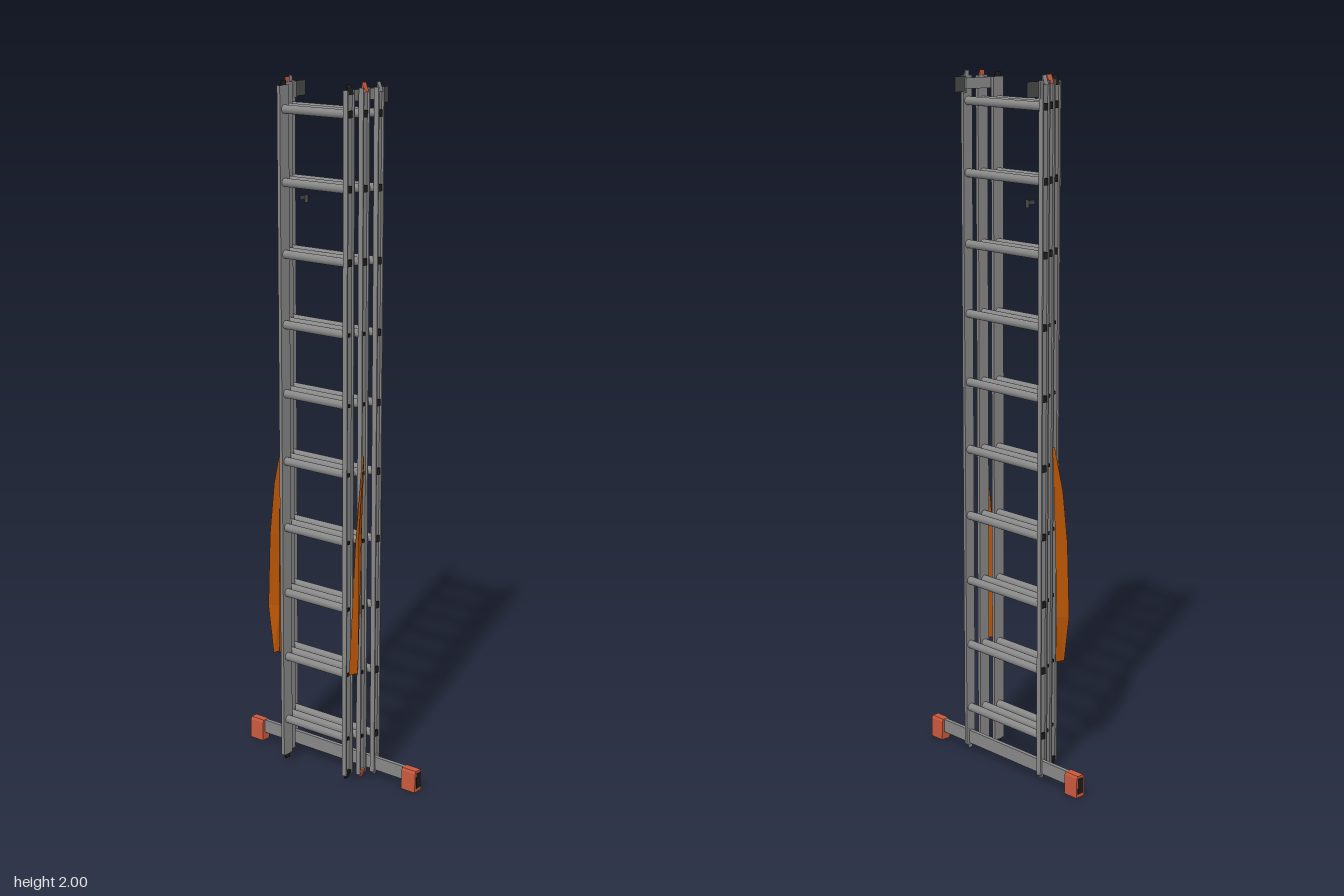
import * as THREE from 'three';

const mat = (name, color, side = THREE.FrontSide) => {
  const m = new THREE.MeshStandardMaterial({ color, side });
  m.name = name;
  return m;
};

export function createModel() {
  const root = new THREE.Group();
  root.name = 'threeSectionLadder';
  const aluminium = mat('aluminium', 0x888888);
  const dark = mat('blackPlastic', 0x1c1c1c);
  const steel = mat('darkSteel', 0x4a4a4a);
  const red = mat('redRubber', 0xc8593e);
  const orange = mat('orangeStrap', 0xba5605, THREE.DoubleSide);

  const add = (parent, name, geo, material, x = 0, y = 0, z = 0) => {
    const m = new THREE.Mesh(geo, material);
    m.name = name;
    m.position.set(x, y, z);
    parent.add(m);
    return m;
  };
  const box = (parent, name, material, w, h, d, x, y, z) =>
    add(parent, name, new THREE.BoxGeometry(w, h, d), material, x, y, z);
  const extrude = (pts, depth) => new THREE.ExtrudeGeometry(
    new THREE.Shape(pts.map(([x, y]) => new THREE.Vector2(x, y))), { depth, bevelEnabled: false });

  // C-shaped rail: web on the inside, flanges pointing outwards
  const railGeometry = (side, width, depth, height) => {
    const t = 0.004, h = depth / 2;
    const pts = [[0, -h], [width, -h + 0.003], [width, -h + 0.003 + t], [t, -h + t],
      [t, h - t], [width, h - 0.003 - t], [width, h - 0.003], [0, h]];
    return extrude(pts.map(([x, z]) => [x * side, z]), height).rotateX(-Math.PI / 2);
  };

  // Three nested ladder sections, widest at the back
  const sections = [
    { name: 'backSection', z: -0.016, inner: 0.148, depth: 0.033, bottom: 0.02, top: 1.985, cap: aluminium, darkFrom: 0 },
    { name: 'middleSection', z: 0.022, inner: 0.128, depth: 0.036, bottom: 0.02, top: 1.985, cap: red, darkFrom: 7 },
    { name: 'frontSection', z: 0.062, inner: 0.108, depth: 0.038, bottom: 0.025, top: 1.98, cap: dark, darkFrom: 7 },
  ];
  for (const s of sections) {
    const g = new THREE.Group();
    g.name = s.name;
    g.position.z = s.z;
    root.add(g);
    const capDepth = s.depth - 0.018;
    for (const side of [-1, 1]) {
      add(g, 'rail', railGeometry(side, 0.013, s.depth, s.top - s.bottom), aluminium,
        side * s.inner, s.bottom, 0);
      // Slanted end plugs at both ends of the rail
      for (const [y, dir] of [[s.bottom, -1], [s.top, 1]]) {
        const pts = [[0.002, -0.012], [0.012, -0.012], [0.011, -0.006], [0.003, 0.014]];
        add(g, 'railEndCap', extrude(pts.map(([px, py]) => [px * side, py * dir]), capDepth),
          s.cap, side * s.inner, y, -capDepth / 2);
      }
    }
    for (let i = 0; i < 10; i++) {
      const y = 0.136 + i * 0.1978;
      const rung = new THREE.CylinderGeometry(0.012, 0.012, s.inner * 2 + 0.006, 16);
      add(g, 'rung', rung.rotateZ(Math.PI / 2), aluminium, 0, y, 0);
      // Pressed rung ends in the rail channel: large plugs or small rivets
      const size = i >= s.darkFrom ? 0.019 : 0.009;
      for (const side of [-1, 1])
        box(g, 'rungEnd', dark, 0.005, size, size, side * (s.inner + 0.0065), y, 0);
    }
  }

  // Stabiliser bar with rubber feet
  const base = new THREE.Group();
  base.name = 'stabiliser';
  root.add(base);
  box(base, 'stabiliserBar', aluminium, 0.54, 0.04, 0.012, 0, 0.044, -0.017);
  for (const side of [-1, 1]) {
    // Foot narrows towards a rounded top
    const profile = [[-0.016, 0], [0.016, 0], [0.0145, 0.058], [0.011, 0.065], [-0.011, 0.065],
      [-0.0145, 0.058]];
    const foot = extrude(profile, 0.048).rotateY(Math.PI / 2).translate(-0.024, 0, 0);
    add(base, 'rubberFoot', foot, red, side * 0.285, 0, -0.016);
    box(base, 'footEndOpening', dark, 0.003, 0.046, 0.019, side * 0.309, 0.034, -0.017);
    box(base, 'barBracket', aluminium, 0.014, 0.05, 0.006, side * 0.154, 0.045, -0.026);
  }

  // Guide hooks at the top of the back section
  for (const [x, reach] of [[-0.148, 0.046], [0.145, 0.036]]) {
    const hook = new THREE.Group();
    hook.name = 'guideHook';
    hook.position.set(x, 1.962, -0.03);
    root.add(hook);
    box(hook, 'hookPlate', steel, 0.002, 0.042, reach, 0, 0, -reach / 2);
    box(hook, 'hookMount', aluminium, 0.012, 0.045, 0.004, 0, -0.002, 0);
  }
  const bracket = box(root, 'slidingBracket', aluminium, 0.007, 0.03, 0.085, 0.122, 1.965, -0.003);
  bracket.rotation.y = -0.1;

  // Small latch lower down
  const latch = new THREE.Group();
  latch.name = 'latch';
  latch.position.set(-0.128, 1.66, -0.03);
  root.add(latch);
  box(latch, 'latchArm', steel, 0.002, 0.012, 0.022, 0, 0.004, -0.007);
  box(latch, 'latchLip', steel, 0.014, 0.022, 0.002, 0.006, 0, -0.018);

  // Folded spreader straps: each row is y, then x and z of outer edge, fold and inner edge
  const strap = (side, rows) => {
    const pos = [], index = [];
    rows.forEach(([y, ...p], i) => {
      for (let k = 0; k < 3; k++) pos.push(p[2 * k] * side, y, p[2 * k + 1]);
      if (!i) return;
      for (let k = 0; k < 2; k++) {
        const a = 3 * i - 3 + k;
        index.push(a, a + 1, a + 3, a + 1, a + 4, a + 3);
      }
    });
    const g = new THREE.BufferGeometry();
    g.setAttribute('position', new THREE.Float32BufferAttribute(pos, 3));
    g.setIndex(index);
    const flat = g.toNonIndexed();
    flat.computeVertexNormals();
    add(root, 'strap', flat, orange);
  };
  strap(-1, [
    [0.98, 0.148, 0.034, 0.145, 0.028, 0.143, 0.034],
    [0.85, 0.16, 0.056, 0.146, 0.034, 0.142, 0.05],
    [0.7, 0.167, 0.068, 0.147, 0.04, 0.138, 0.062],
    [0.48, 0.172, 0.072, 0.148, 0.045, 0.132, 0.07],
    [0.34, 0.148, 0.078, 0.14, 0.05, 0.129, 0.076]]);
  strap(1, [
    [0.98, 0.146, 0.034, 0.143, 0.028, 0.142, 0.034],
    [0.75, 0.152, 0.064, 0.144, 0.04, 0.138, 0.058],
    [0.55, 0.157, 0.07, 0.144, 0.045, 0.133, 0.066],
    [0.34, 0.156, 0.07, 0.14, 0.05, 0.128, 0.074]]);

  return root;
}
